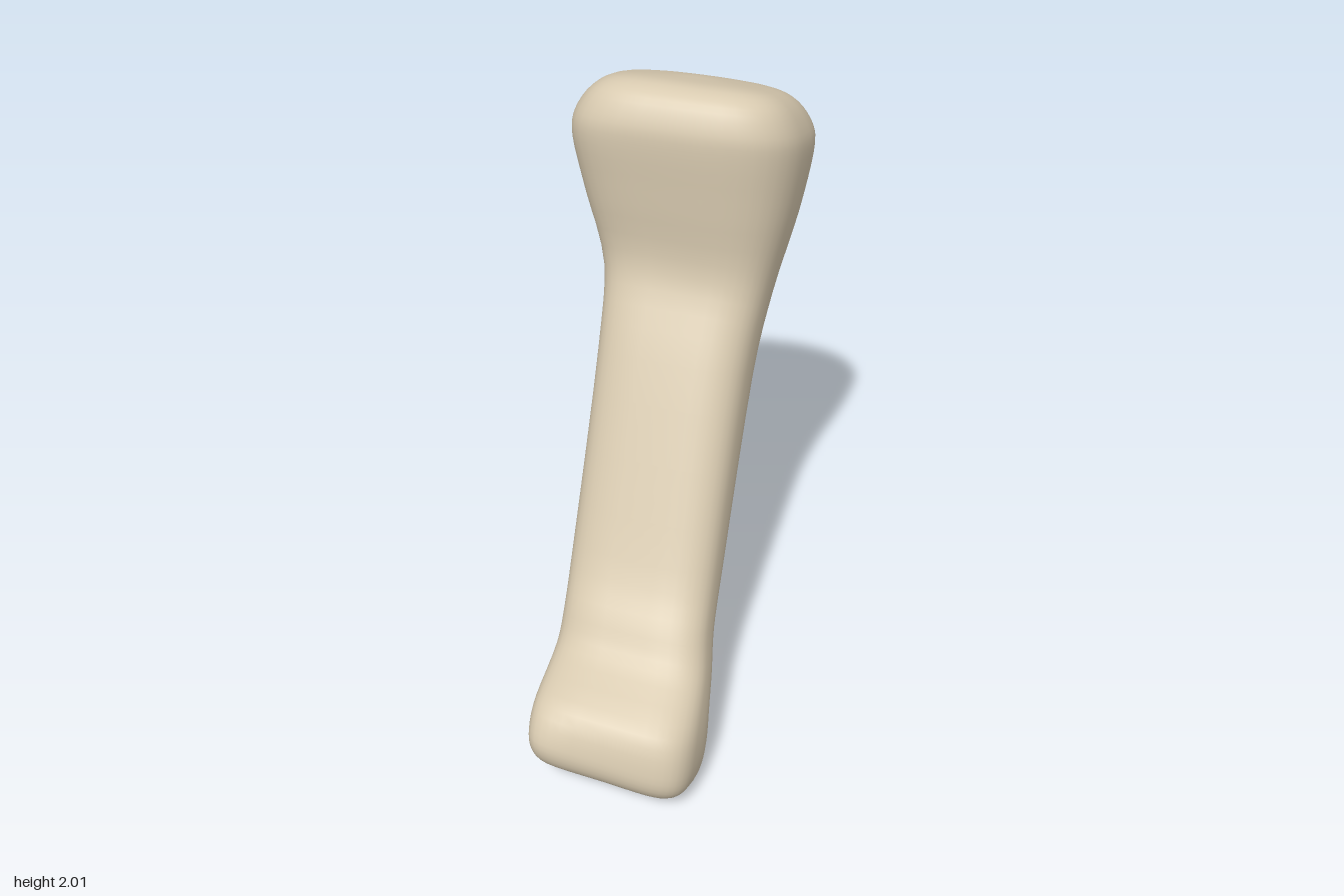
import * as THREE from 'three';
import { mergeVertices } from 'three/addons/utils/BufferGeometryUtils.js';

// Cross-sections from the upper to the lower joint:
// front z, y | back z, y | x min, x max
const SECTIONS = [
  [-0.38, 1.965, -0.38, 1.965, 0.01, 0.01],
  [-0.24, 1.995, -0.51, 1.91, -0.2, 0.22],
  [-0.165, 1.97, -0.59, 1.855, -0.28, 0.295],
  [-0.125, 1.9, -0.655, 1.77, -0.33, 0.335],
  [-0.12, 1.82, -0.67, 1.69, -0.34, 0.34],
  [-0.135, 1.65, -0.6, 1.5, -0.3, 0.315],
  [-0.145, 1.43, -0.465, 1.255, -0.235, 0.27],
  [-0.03, 1.2, -0.344, 1.03, -0.215, 0.255],
  [0.24, 0.65, -0.05, 0.54, -0.2, 0.27],
  [0.35, 0.5, 0.09, 0.37, -0.185, 0.285],
  [0.43, 0.405, 0.19, 0.25, -0.18, 0.31],
  [0.62, 0.325, 0.27, 0.16, -0.175, 0.335],
  [0.68, 0.22, 0.32, 0.09, -0.17, 0.335],
  [0.67, 0.14, 0.37, 0.025, -0.155, 0.315],
  [0.6, 0.065, 0.43, 0, -0.12, 0.25],
  [0.51, 0.03, 0.51, 0.03, 0.07, 0.07],
];
const SIDES = 40, RINGS = 60;

const curveThrough = (toPoint) => new THREE.CatmullRomCurve3(SECTIONS.map(toPoint), false, 'catmullrom', 0.45);
const signedPower = (value, power) => Math.sign(value) * Math.abs(value) ** power;

// Skin of rounded-square rings lofted between the front and back lines
function boneGeometry() {
  const frontLine = curveThrough(([z, y]) => new THREE.Vector3(0, y, z));
  const backLine = curveThrough(([, , z, y]) => new THREE.Vector3(0, y, z));
  const sideLine = curveThrough(([, , , , x0, x1]) => new THREE.Vector3(x0, x1, 0));
  const positions = [], index = [];

  for (let r = 0; r <= RINGS; r++) {
    const t = r / RINGS;
    const front = frontLine.getPoint(t), back = backLine.getPoint(t);
    const { x: x0, y: x1 } = sideLine.getPoint(t);
    const middle = front.clone().add(back).multiplyScalar(0.5);
    const halfDepth = front.clone().sub(back).multiplyScalar(0.5);

    // The joints are skewed sideways; the lower one is squarer, hollowed and tilted
    const upper = 1 - THREE.MathUtils.smoothstep(t, 0.4, 0.53);
    const lower = THREE.MathUtils.smoothstep(t, 0.64, 0.82);
    const shear = 0.11 * upper + 0.16 * lower;
    const hollow = 0.04 * upper + 0.14 * lower;
    const tilt = 0.12 * lower * (x1 - x0) / 2;

    for (let j = 0; j < SIDES; j++) {
      const a = (j / SIDES) * Math.PI * 2, c = Math.cos(a), s = Math.sin(a);
      const power = 2 / (s > 0 ? 3 + 0.6 * lower : 2.3 + 0.4 * lower);
      const u = signedPower(c, power);
      const v = signedPower(s, power) - shear * u - hollow * Math.max(0, s) * (1 - u * u);
      const point = middle.clone().addScaledVector(halfDepth, v);
      positions.push((x0 + x1) / 2 + (u * (x1 - x0)) / 2, point.y - tilt * u, point.z);
      if (r < RINGS) {
        const p = r * SIDES + j, q = r * SIDES + ((j + 1) % SIDES);
        index.push(p, q, p + SIDES, q, q + SIDES, p + SIDES);
      }
    }
  }

  const skin = new THREE.BufferGeometry();
  skin.setAttribute('position', new THREE.Float32BufferAttribute(positions, 3));
  skin.setIndex(index);
  // Join the end rings into single points so the shading is smooth there
  const geometry = mergeVertices(skin, 1e-5);
  geometry.computeVertexNormals();
  return geometry;
}

export function createModel() {
  const group = new THREE.Group();
  group.name = 'fingerBone';
  const bone = new THREE.Mesh(boneGeometry(), new THREE.MeshStandardMaterial({ color: 0xd8cab0 }));
  bone.name = 'boneShaftAndJoints';
  group.add(bone);
  return group;
}
